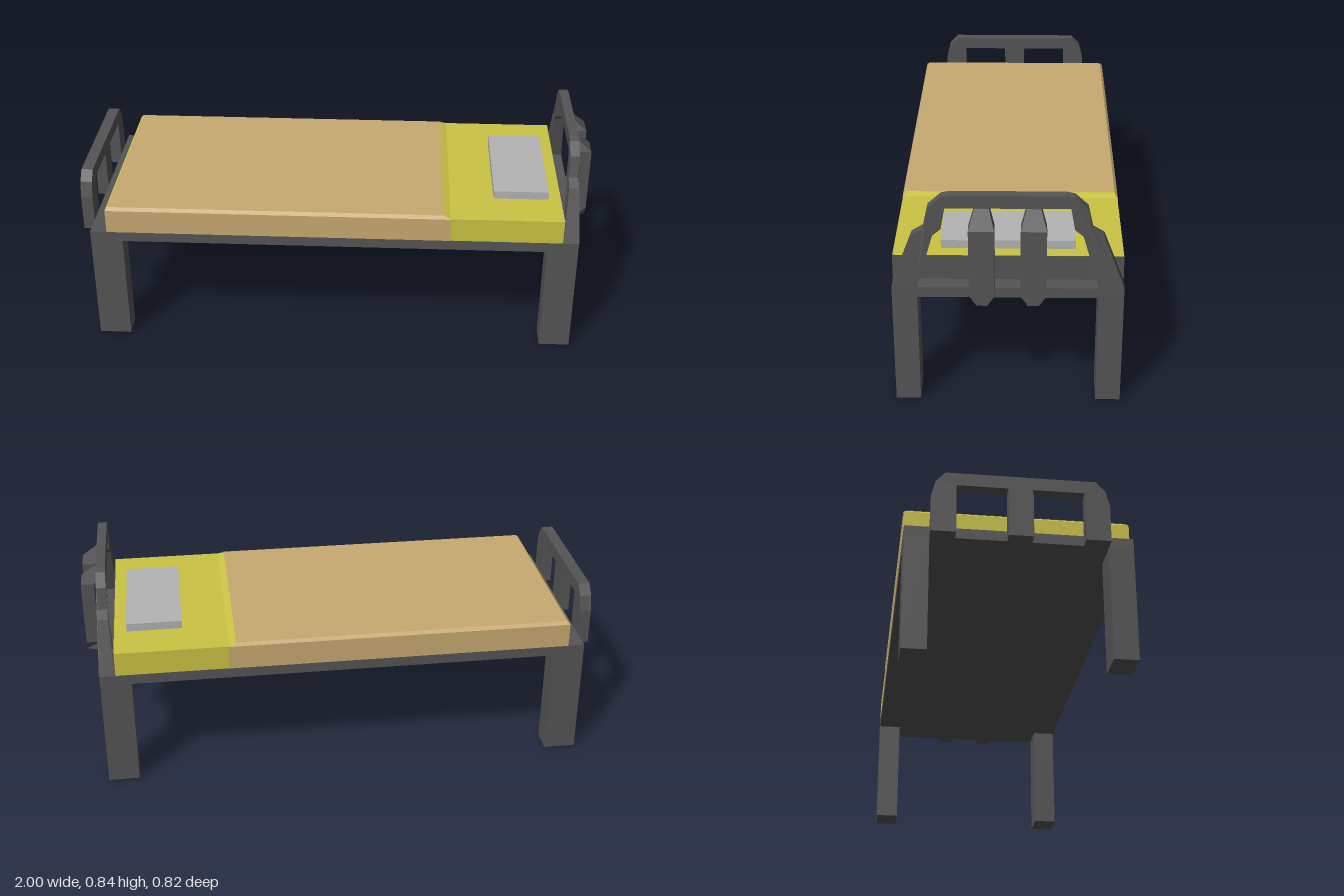
import * as THREE from 'three';

const mat = (color) => new THREE.MeshStandardMaterial({ color, flatShading: true, side: THREE.DoubleSide });

export function createModel() {
  const bed = new THREE.Group();
  const dark = mat(0x555555), yellow = mat(0xcbc344), tan = mat(0xc8aa72), grey = mat(0xb4b4b4);

  const add = (name, geometry, material, parent = bed) => {
    const mesh = new THREE.Mesh(geometry, material);
    mesh.name = name;
    parent.add(mesh);
    return mesh;
  };

  // Box given by its limits
  const box = (x0, x1, y0, y1, z0, z1) =>
    new THREE.BoxGeometry(x1 - x0, y1 - y0, z1 - z0)
      .translate((x0 + x1) / 2, (y0 + y1) / 2, (z0 + z1) / 2);

  // Horizontal sections [y, x0, x1, z0, z1] joined into a closed solid
  const loft = (sections) => {
    const pos = [], idx = [];
    for (const [y, x0, x1, z0, z1] of sections) pos.push(x0, y, z0, x0, y, z1, x1, y, z1, x1, y, z0);
    for (let s = 0; s < sections.length - 1; s++) {
      for (let i = 0; i < 4; i++) {
        const a = s * 4 + i, b = s * 4 + (i + 1) % 4;
        idx.push(a, b, b + 4, a, b + 4, a + 4);
      }
    }
    const t = (sections.length - 1) * 4;
    idx.push(0, 2, 1, 0, 3, 2, t, t + 1, t + 2, t, t + 2, t + 3);
    const g = new THREE.BufferGeometry();
    g.setAttribute('position', new THREE.Float32BufferAttribute(pos, 3));
    g.setIndex(idx);
    const flat = g.toNonIndexed();
    flat.computeVertexNormals();
    return flat;
  };

  // Mirrored arch outline in the z-y plane, extruded along x
  const arch = (outer, inner, x0, x1) => {
    const half = [...outer, ...outer.slice().reverse().map(([z, y]) => [-z, y])];
    const back = [...inner.map(([z, y]) => [-z, y]), ...inner.slice().reverse()];
    const shape = new THREE.Shape([...half, ...back].map(([z, y]) => new THREE.Vector2(-z, y)));
    return new THREE.ExtrudeGeometry(shape, { depth: x1 - x0, bevelEnabled: false })
      .rotateY(Math.PI / 2).translate(x0, 0, 0);
  };

  // Frame and legs
  add('frame', box(-0.955, 0.945, 0.437, 0.477, -0.41, 0.41), dark);
  for (const [x0, x1] of [[-0.955, -0.83], [0.825, 0.945]]) {
    for (const s of [-1, 1]) add('leg', box(x0, x1, 0, 0.437, s * 0.365 - 0.045, s * 0.365 + 0.045), dark);
  }

  // Headboard arch, thinner towards the top
  const headboard = new THREE.Group();
  headboard.name = 'headboard';
  bed.add(headboard);
  const headArch = arch(
    [[0.41, 0.477], [0.335, 0.68], [0.295, 0.705], [0.277, 0.787], [0.23, 0.83], [0.2, 0.836]],
    [[0.32, 0.477], [0.262, 0.68], [0.232, 0.705], [0.217, 0.787]], -1, 1);
  const p = headArch.attributes.position;
  for (let i = 0; i < p.count; i++) {
    const t = Math.min(1, (p.getY(i) - 0.477) / 0.228);
    p.setX(i, 0.916 + p.getX(i) * (0.03 - 0.012 * t));
  }
  headArch.computeVertexNormals();
  add('headboardArch', headArch, dark, headboard);

  // Headboard slats: foot hooked onto the frame, head leaning in to the arch
  for (const s of [-1, 1]) {
    const c = s * 0.09;
    add('headboardSlat', loft([
      [0.477, 0.95, 1, c - 0.045, c + 0.045],
      [0.733, 0.95, 1, c - 0.045, c + 0.045],
      [0.787, 0.9, 0.936, c - 0.025, c + 0.025],
    ]), dark, headboard);
    const hook = box(0.94, 1, 0.437, 0.477, c - 0.045, c + 0.045);
    const h = hook.attributes.position;
    for (let i = 0; i < h.count; i++) {
      if (h.getX(i) > 0.98 && h.getY(i) < 0.45) h.setZ(i, c + Math.sign(h.getZ(i) - c) * 0.019);
    }
    hook.computeVertexNormals();
    add('slatHook', hook, dark, headboard);
  }

  // Footboard arch with one central slat
  const footboard = new THREE.Group();
  footboard.name = 'footboard';
  bed.add(footboard);
  add('footboardArch', arch(
    [[0.32, 0.437], [0.32, 0.58], [0.305, 0.64], [0.27, 0.677]],
    [[0.23, 0.437], [0.23, 0.627]], -1, -0.955), dark, footboard);
  add('footboardSlat', box(-1, -0.955, 0.437, 0.63, -0.045, 0.045), dark, footboard);

  // Mattress with a raised, bevelled area under the blanket
  add('mattress', box(-0.89, 0.885, 0.477, 0.573, -0.409, 0.409), yellow);
  add('mattressEnd', box(0.884, 0.887, 0.477, 0.573, -0.41, 0.41), dark);
  add('blanketHem', loft([
    [0.572, -0.89, 0.45, -0.409, 0.409],
    [0.582, -0.88, 0.42, -0.399, 0.399],
  ]), yellow);

  // Blanket: open sheet down both sides and over the top
  const profile = [[0.411, 0.477], [0.411, 0.572], [0.4, 0.584], [-0.4, 0.584], [-0.411, 0.572], [-0.411, 0.477]];
  const pos = [], idx = [];
  profile.forEach(([z, y], i) => {
    const top = y > 0.58;
    pos.push(top ? -0.88 : -0.89, y, z, top ? 0.42 : 0.45, y, z);
    if (i) idx.push(2 * i - 2, 2 * i - 1, 2 * i + 1, 2 * i - 2, 2 * i + 1, 2 * i);
  });
  const sheet = new THREE.BufferGeometry();
  sheet.setAttribute('position', new THREE.Float32BufferAttribute(pos, 3));
  sheet.setIndex(idx);
  const blanket = sheet.toNonIndexed();
  blanket.computeVertexNormals();
  add('blanket', blanket, tan);

  add('pillow', box(0.62, 0.835, 0.57, 0.605, -0.24, 0.24), grey);

  return bed;
}
